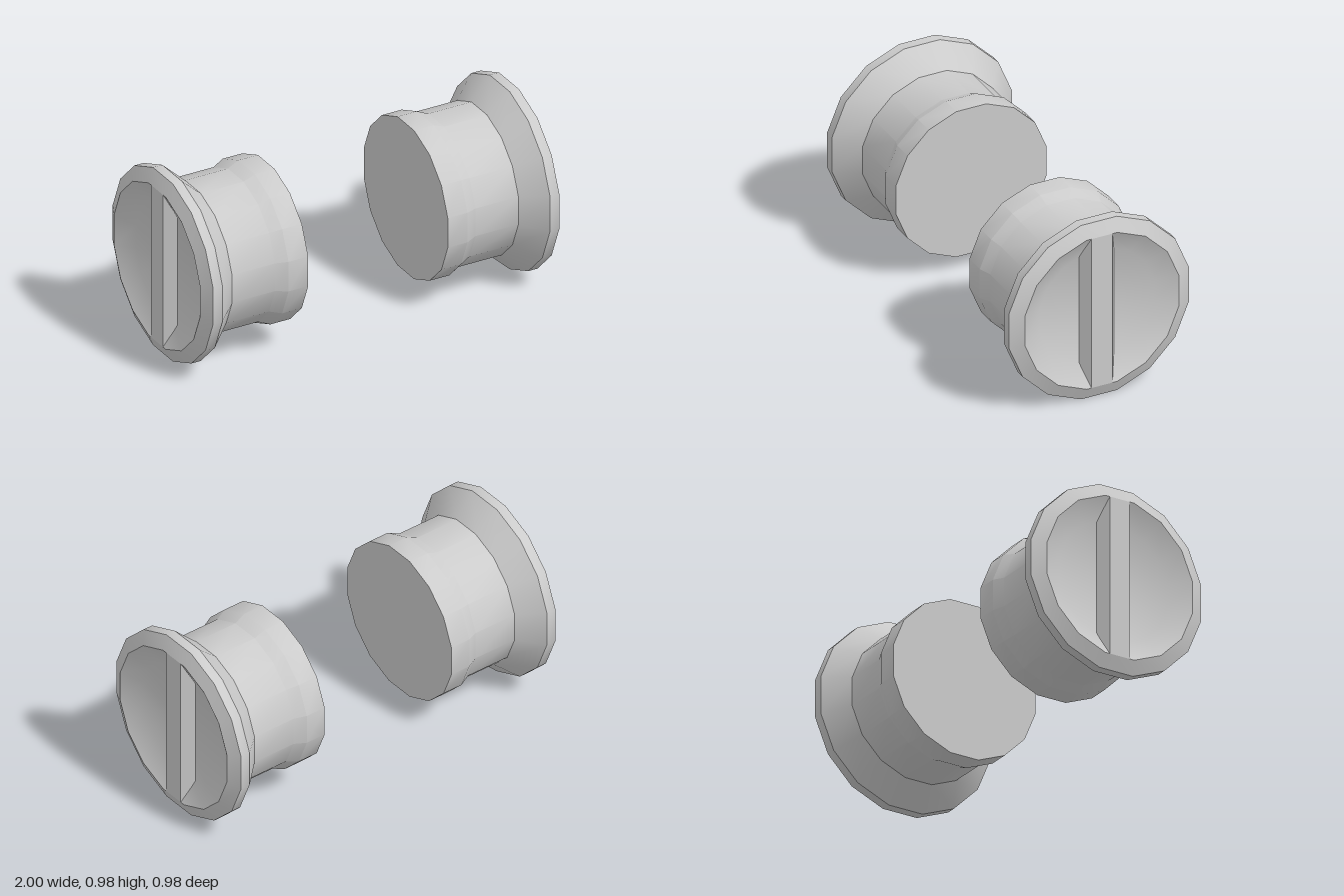
import * as THREE from 'three';
import { toCreasedNormals } from 'three/addons/utils/BufferGeometryUtils.js';

const SIDES = 16;
const FLAT = 1 / Math.cos(Math.PI / SIDES); // flat-to-flat radius -> corner radius
const CENTER_Y = 0.49;

const material = new THREE.MeshStandardMaterial({ color: 0xcccccc });

// Turned body along +x: barrel, collar, flared flange and dished outer face
function bodyGeometry() {
  const profile = [
    [0, 0.39], [0.41, 0.39], [0.41, 0.5], [0.383, 0.56], [0.383, 0.8],
    [0.49, 0.915], [0.49, 0.967], [0.42, 1], [0.31, 0.94], [0, 0.94],
  ].map(([r, x]) => new THREE.Vector2(r * FLAT, x));
  const geo = new THREE.LatheGeometry(profile, SIDES, Math.PI / SIDES);
  geo.rotateZ(-Math.PI / 2);
  return toCreasedNormals(geo, 0.56);
}

// Grip bar across the dish: sides taper outwards, ends follow the dish wall
function gripGeometry() {
  const geo = new THREE.BoxGeometry(0.06, 2, 2);
  const p = geo.attributes.position;
  for (let i = 0; i < p.count; i++) {
    const outer = p.getX(i) > 0;
    p.setXYZ(i, outer ? 1 : 0.94,
      Math.sign(p.getY(i)) * (outer ? 0.42 : 0.3),
      Math.sign(p.getZ(i)) * (outer ? 0.057 : 0.095));
  }
  return toCreasedNormals(geo, 0.3);
}

export function createModel() {
  const model = new THREE.Group();
  model.name = 'knobPair';
  const body = bodyGeometry();
  const grip = gripGeometry();

  // Two knobs facing away from each other
  for (const side of ['left', 'right']) {
    const knob = new THREE.Group();
    knob.name = side + 'Knob';
    for (const [name, geo] of [['Body', body], ['GripBar', grip]]) {
      const mesh = new THREE.Mesh(geo, material);
      mesh.name = side + name;
      knob.add(mesh);
    }
    knob.position.y = CENTER_Y;
    if (side === 'right') knob.rotation.y = Math.PI;
    model.add(knob);
  }
  return model;
}
